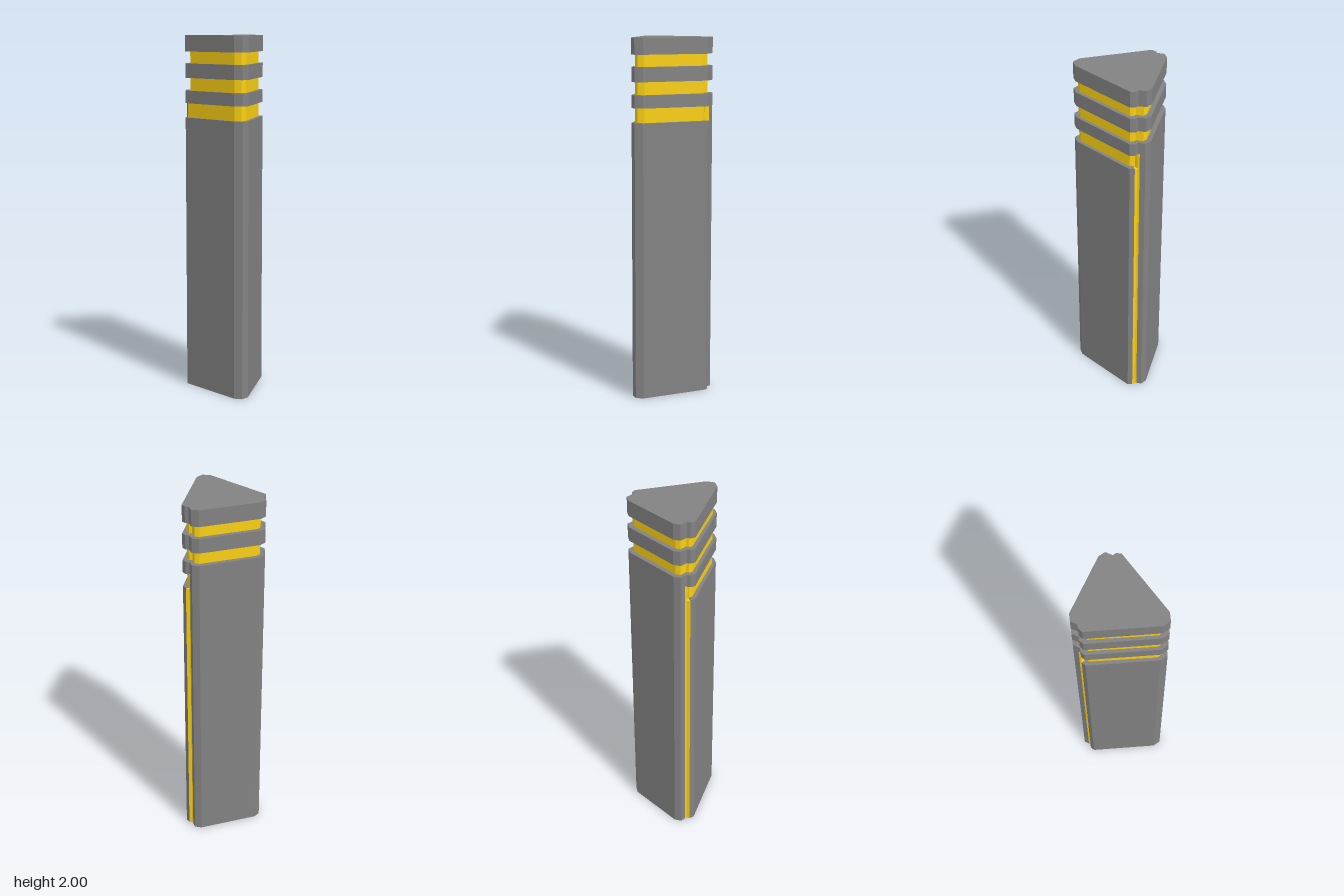
import * as THREE from 'three';

const grey = new THREE.MeshStandardMaterial({ color: 0x828282 });
const yellow = new THREE.MeshStandardMaterial({ color: 0xfbd012 });

// Mirrors a path across the centre line, reversing its direction.
const flip = (path) => path.slice().reverse().map(([x, z]) => [-x, z]);

// Closed outline from a half path that starts on the centre line.
const mirrored = (half) => [...half, ...flip(half.slice(1))];

// Upright prism over a closed [x, z] outline, from y0 to y1.
function prism(name, outline, y0, y1, material) {
  const shape = new THREE.Shape(outline.map(([x, z]) => new THREE.Vector2(x, -z)));
  const geometry = new THREE.ExtrudeGeometry(shape, { depth: y1 - y0, bevelEnabled: false });
  geometry.rotateX(-Math.PI / 2).translate(0, y0, 0);
  const mesh = new THREE.Mesh(geometry, material);
  mesh.name = name;
  return mesh;
}

// Half outlines, from the front nose round to the back
const capHalf = [
  [0, 0.228], [0.04, 0.205], [0.225, -0.131], [0.217, -0.157],
  [0.2, -0.167], [0.199, -0.208], [0.165, -0.228],
];
const coreHalf = [
  [0, 0.203], [0.032, 0.184], [0.198, -0.125], [0.192, -0.143],
  [0.178, -0.15], [0.178, -0.19], [0.155, -0.203],
];
const frontOuter = capHalf.slice(0, 4);
const frontInner = coreHalf.slice(0, 4);
const backOuter = [[0.2, -0.178], [0.199, -0.208], [0.165, -0.228]];
const backInner = [[0.184, -0.178], [0.184, -0.192], [0.155, -0.203]];

// Corner slots: a full-height strip and the sloping lip beside the casing
const strip = [[0.178, -0.15], [0.19, -0.15], [0.2, -0.167], [0.2, -0.178], [0.178, -0.178]];
const lip = [[0.19, -0.15], [0.193, -0.145], [0.217, -0.157], [0.2, -0.167]];

export function createModel() {
  const model = new THREE.Group();
  model.name = 'bollard';

  // Inner core, seen in the gaps between the bands, and its recessed underside
  model.add(prism('core', mirrored(coreHalf), 0.1, 1.95, yellow));
  model.add(prism('recessedBase', mirrored(coreHalf), 0.09, 0.1, grey));

  // Thin wrap-round front casing
  const casing = [
    ...flip(frontOuter), ...frontOuter.slice(1),
    ...frontInner.slice().reverse(), ...flip(frontInner.slice(1)).reverse(),
  ];
  model.add(prism('frontCasing', casing, 0, 1.545, grey));

  // Taller back panel with returned edges
  const panel = [
    ...backOuter, ...flip(backOuter),
    ...flip(backInner).reverse(), ...backInner.slice().reverse(),
  ];
  model.add(prism('backPanel', panel, 0, 1.63, grey));

  // Coloured strips filling the corner slots
  [['left', (path) => path], ['right', flip]].forEach(([side, place]) => {
    model.add(prism(`${side}Strip`, place(strip), 0, 1.63, yellow));
    model.add(prism(`${side}StripLip`, place(lip), 0, 1.54, yellow));
  });

  // Stacked bands, the top one closing the bollard
  [[1.625, 1.695], [1.765, 1.845], [1.91, 2]].forEach(([y0, y1], i) => {
    model.add(prism(i === 2 ? 'cap' : `band${i + 1}`, mirrored(capHalf), y0, y1, grey));
  });

  return model;
}
